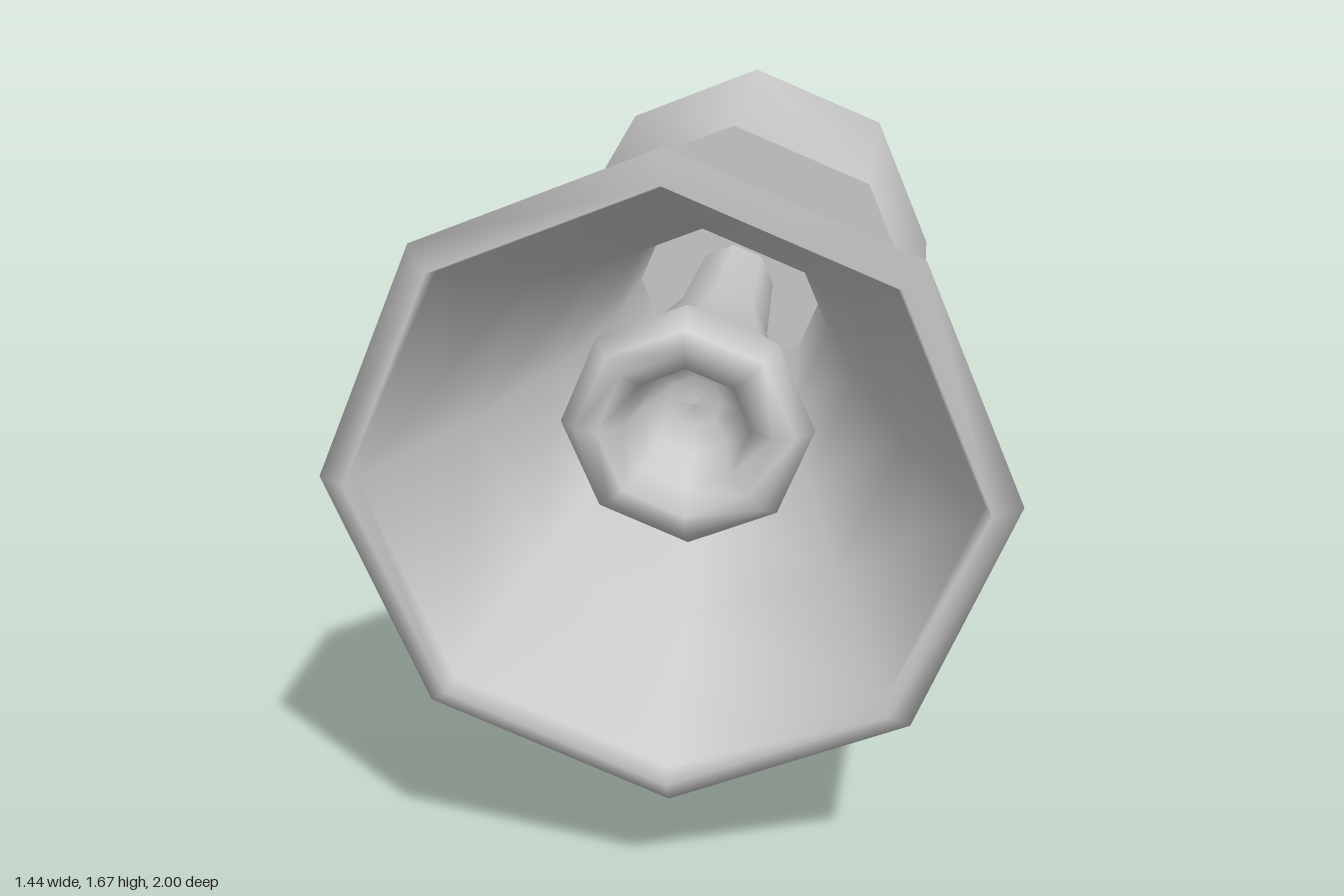
import * as THREE from 'three';
import { toCreasedNormals } from 'three/addons/utils/BufferGeometryUtils.js';

const AXIS_Y = 0.95;
const SIDES = 8;

// Eight-sided smooth revolve around the z axis; profile is [radius, z] pairs.
function revolve(name, profile, material) {
  const points = profile.map(([r, z]) => new THREE.Vector2(r, z));
  const geometry = new THREE.LatheGeometry(points, SIDES);
  geometry.rotateX(Math.PI / 2);
  const mesh = new THREE.Mesh(geometry, material);
  mesh.name = name;
  mesh.position.y = AXIS_Y;
  return mesh;
}

export function createModel() {
  const group = new THREE.Group();
  group.name = 'hornSpeaker';
  const grey = new THREE.MeshStandardMaterial({ color: 0xcccccc });

  // Housing: upright block with a four-facet arched top
  const half = 0.485, archY = 0.88, back = -1, depth = 0.62;
  const outline = new THREE.Shape();
  outline.moveTo(-half, 0);
  outline.lineTo(half, 0);
  for (let i = 0; i <= 4; i++) {
    const a = (i * Math.PI) / 4;
    outline.lineTo(half * Math.cos(a), archY + half * Math.sin(a));
  }
  outline.closePath();
  const block = new THREE.ExtrudeGeometry(outline, { depth, bevelEnabled: false });
  block.translate(0, 0, back);
  const housing = new THREE.Mesh(toCreasedNormals(block, Math.PI / 3), grey);
  housing.name = 'housing';
  group.add(housing);

  // Flared horn: outer wall, turned-in lip, then the inner wall back to the throat
  group.add(revolve('horn', [
    [0.265, -0.4], [0.295, -0.05], [0.38, 0.28], [0.51, 0.62], [0.718, 0.95],
    [0.655, 1.0], [0.64, 0.95],
    [0.47, 0.62], [0.35, 0.28], [0.265, -0.05], [0.24, -0.38],
  ], grey));

  // Inner horn: small bell in the throat with a rounded lip and a shallow pit
  group.add(revolve('innerHorn', [
    [0.1, -0.4], [0.12, 0], [0.18, 0.34], [0.278, 0.6],
    [0.24, 0.65], [0.19, 0.66], [0.14, 0.62],
    [0.11, 0.5], [0.06, 0.46], [0, 0.47],
  ], grey));

  return group;
}
